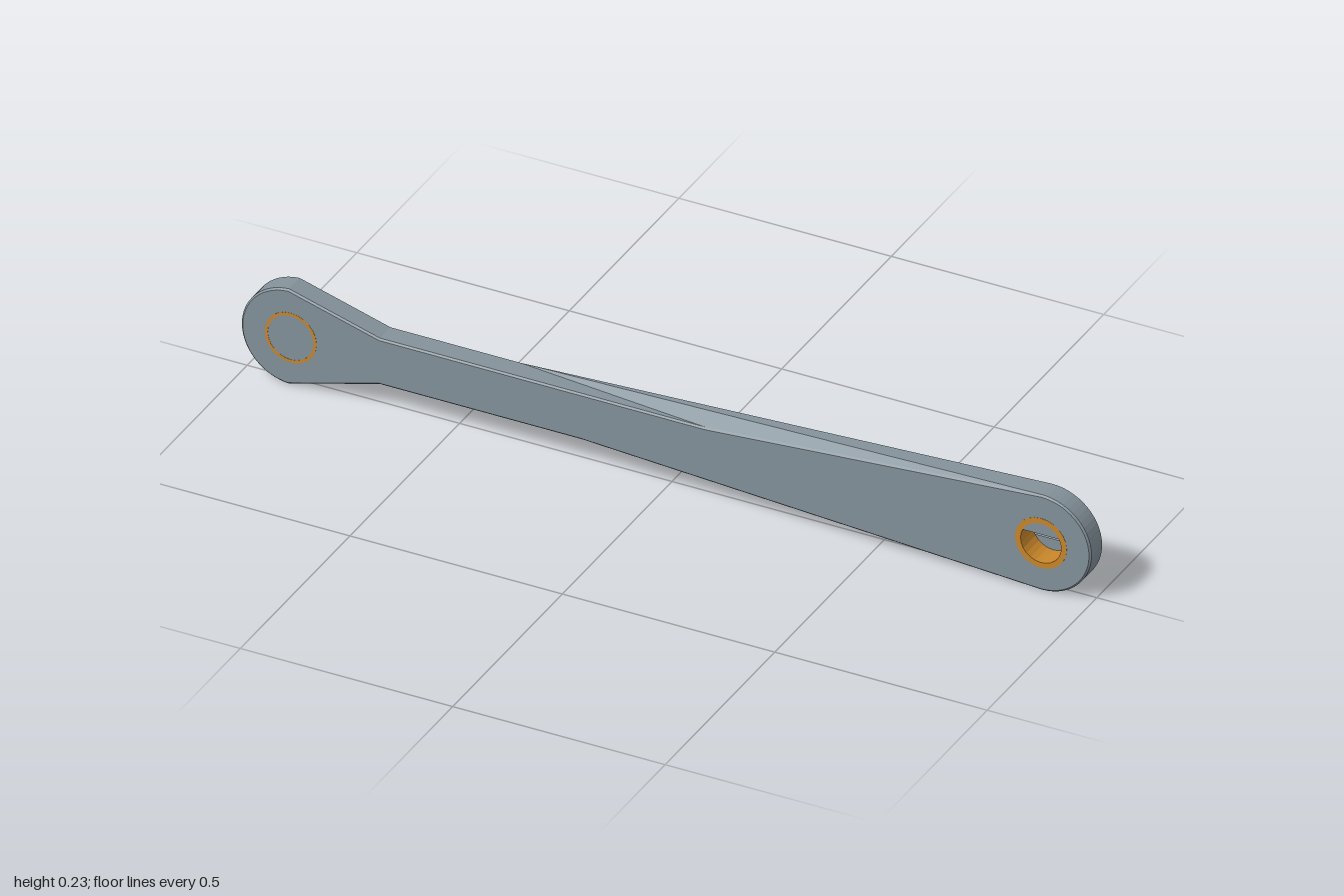
import * as THREE from 'three';

const R = 0.117;      // radius of both end bosses
const CX = 0.883;     // distance of pin centres from the middle
const CY = 0.1175;    // centre line height
const HALF = 0.028;   // half thickness
const BEVEL = 0.004;
const BUSH = 0.048;   // bore radius

const steel = new THREE.MeshStandardMaterial({ color: 0x84929a, flatShading: true, side: THREE.DoubleSide });
const brass = new THREE.MeshStandardMaterial({ color: 0xc8862a, flatShading: true, side: THREE.DoubleSide });

function addMesh(group, name, geometry, material) {
  const mesh = new THREE.Mesh(geometry, material);
  mesh.name = name;
  group.add(mesh);
  return mesh;
}

// Rod outline with one kink above and below, later slid along the shank
function rodGeometry() {
  const shape = new THREE.Shape();
  const neck = 0.0565;
  shape.moveTo(-0.675, -neck);
  shape.lineTo(0, -neck);
  shape.absarc(CX, 0, R, -Math.PI / 2, Math.PI / 2, false);
  shape.lineTo(0, neck);
  shape.lineTo(-0.675, neck);
  shape.absarc(-CX, 0, R, Math.PI / 2 + 0.05, Math.PI * 1.5 - 0.05, false);
  shape.closePath();
  const hole = new THREE.Path();
  hole.absarc(CX, 0, BUSH + 0.002, 0, Math.PI * 2, true);
  shape.holes.push(hole);

  const geometry = new THREE.ExtrudeGeometry(shape, {
    depth: 2 * (HALF - BEVEL), curveSegments: 14,
    bevelSize: BEVEL, bevelThickness: BEVEL, bevelOffset: -BEVEL, bevelSegments: 1,
  });
  geometry.translate(0, 0, BEVEL - HALF);

  // The flare starts at a different place on each face, twisting the edges
  const p = geometry.attributes.position;
  for (let i = 0; i < p.count; i++) {
    if (Math.abs(p.getX(i)) > 0.05) continue;
    const top = p.getY(i) > 0;
    const front = p.getZ(i) > 0;
    const kink = front ? (top ? 0.09 : -0.2) : (top ? -0.37 : 0.19);
    p.setX(i, p.getX(i) + kink);
  }
  geometry.computeVertexNormals();
  return geometry;
}

// Flat ring with thickness, used for bushings
function ringGeometry(inner, outer, depth) {
  const shape = new THREE.Shape().absarc(0, 0, outer, 0, Math.PI * 2, false);
  shape.holes.push(new THREE.Path().absarc(0, 0, inner, 0, Math.PI * 2, true));
  const geometry = new THREE.ExtrudeGeometry(shape, { depth, bevelEnabled: false, curveSegments: 12 });
  geometry.translate(0, 0, -depth / 2);
  return geometry;
}

export function createModel() {
  const model = new THREE.Group();
  model.name = 'connectingRod';

  addMesh(model, 'rodBody', rodGeometry(), steel).position.y = CY;

  // Bushing lining the open bore
  addMesh(model, 'openBushing', ringGeometry(BUSH, 0.061, 2 * HALF + 0.001), brass)
    .position.set(CX, CY, 0);

  // Thin ring marking the closed bore on both faces
  addMesh(model, 'closedBushing', ringGeometry(0.054, 0.061, 2 * HALF + 0.001), brass)
    .position.set(-CX, CY, 0);

  // Segments closing the top of the bore in front and its bottom at the back
  const a = Math.asin(0.021 / BUSH);
  for (const side of [1, -1]) {
    const segment = new THREE.Shape().absarc(0, 0, BUSH, a, Math.PI - a, false);
    const name = side > 0 ? 'frontBorePlate' : 'backBorePlate';
    const plate = addMesh(model, name, new THREE.ShapeGeometry(segment, 12), steel);
    plate.position.set(CX, CY, side * HALF);
    if (side < 0) plate.rotation.x = Math.PI;
  }
  return model;
}
